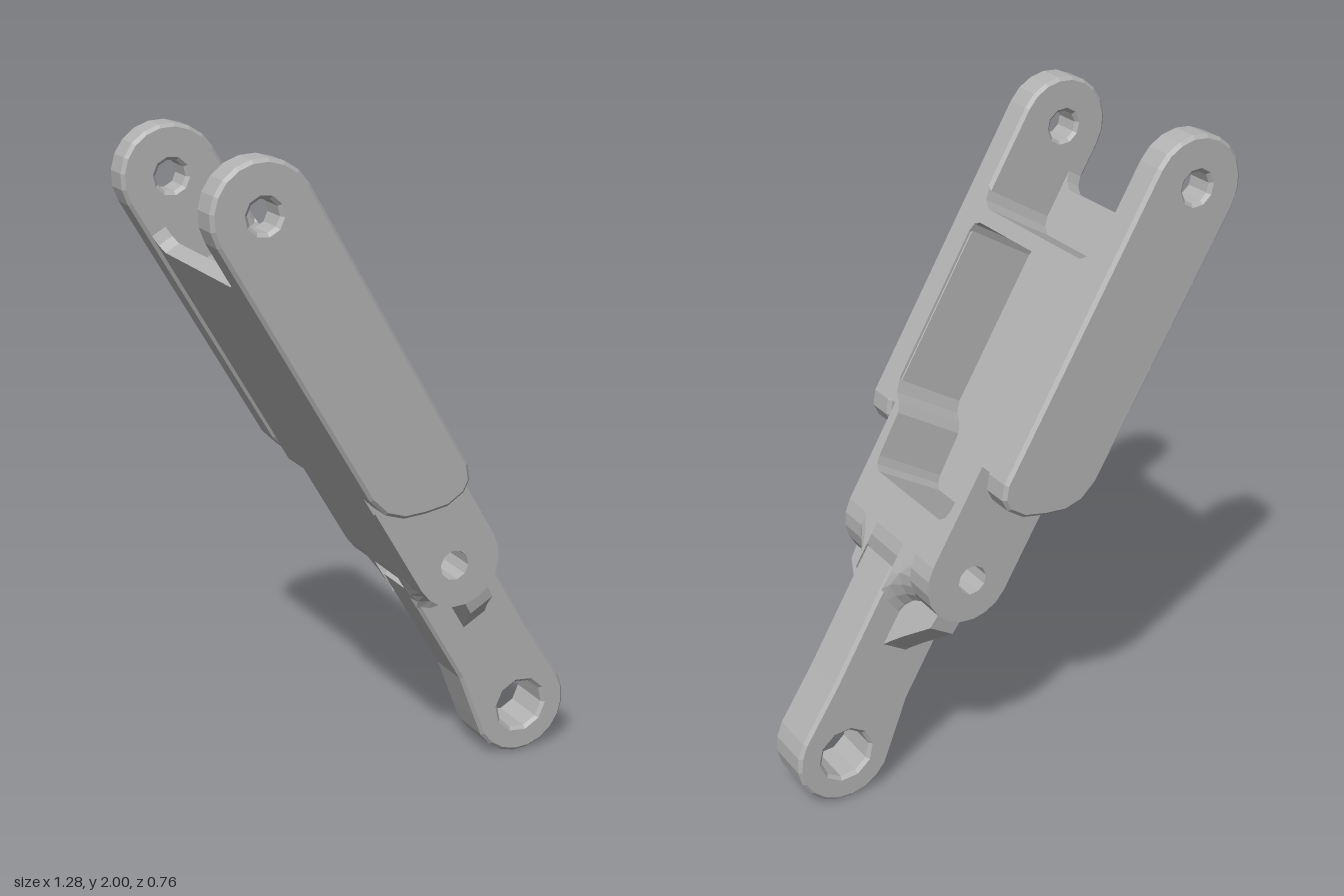
import * as THREE from 'three';

const TILT = Math.PI / 6;
const LENGTH = 1.952; // distance between the two end pivots

export function createModel() {
  const metal = new THREE.MeshStandardMaterial({ color: 0xb2b2b2, side: THREE.DoubleSide });
  metal.name = 'greyMetal';

  // The link is built upright (pivot to pivot along y), then tilted
  const link = new THREE.Group();
  link.name = 'link';
  link.rotation.z = TILT;
  link.position.set(0.482, 0.158, 0);

  const add = (geometry, name) => {
    const mesh = new THREE.Mesh(geometry, metal);
    mesh.name = name;
    link.add(mesh);
  };
  const toShape = (pts) => new THREE.Shape(pts.map(([x, y]) => new THREE.Vector2(x, y)));
  const drill = (shape, x, y, r) => {
    const hole = new THREE.Path();
    hole.absarc(x, y, r, 0, Math.PI * 2, true);
    shape.holes.push(hole);
  };
  // Slab facing z, from z0 to z1, with a small edge bevel
  const slabZ = (shape, z0, z1, bevel = 0.01) =>
    new THREE.ExtrudeGeometry(shape, {
      depth: z1 - z0 - 2 * bevel, curveSegments: 5, bevelEnabled: bevel > 0,
      bevelThickness: bevel, bevelSize: bevel, bevelOffset: -bevel, bevelSegments: 1,
    }).translate(0, 0, z0 + bevel);
  // Slab facing x: the shape is drawn in (-z, y)
  const slabX = (shape, x0, x1) =>
    new THREE.ExtrudeGeometry(shape, { depth: x1 - x0, curveSegments: 4, bevelEnabled: false })
      .rotateY(Math.PI / 2).translate(x0, 0, 0);
  // Half outline mirrored to both sides
  const mirrored = (half) => half.concat(half.map(([x, y]) => [-x, y]).reverse());

  // Fork cheeks: round at the pivot, blunt at the lower end
  for (const side of [1, -1]) {
    const cheek = new THREE.Shape();
    cheek.absarc(0, LENGTH, 0.15, 0, Math.PI, false);
    for (const [x, y] of [[-0.148, 1.09], [-0.13, 1.025], [-0.09, 0.98], [-0.03, 0.95],
      [0.038, 0.925], [0.098, 0.928], [0.132, 0.95], [0.15, 0.995]]) cheek.lineTo(x, y);
    drill(cheek, 0, LENGTH, 0.046);
    add(side > 0 ? slabZ(cheek, 0.28, 0.38) : slabZ(cheek, -0.38, -0.28),
      side > 0 ? 'frontCheek' : 'backCheek');
  }

  // Frame around the pocket, with fillets against the cheeks
  const frame = toShape(mirrored([
    [0.25, 0.79], [0.25, 1.0], [0.29, 1.0], [0.29, 1.7], [0.28, 1.69], [0.27, 1.66], [0.24, 1.64],
  ]));
  frame.holes.push(new THREE.Path(mirrored([
    [0.18, 0.8], [0.2, 0.815], [0.208, 0.84], [0.215, 0.98], [0.235, 1.01], [0.265, 1.03],
    [0.282, 1.07], [0.282, 1.555], [0.272, 1.582], [0.25, 1.593],
  ]).map(([x, y]) => new THREE.Vector2(x, y))));
  add(slabX(frame, -0.1, 0.15), 'pocketFrame');

  // Pocket floor, running up between the cheeks, and its narrower lower part
  add(slabX(toShape(mirrored([
    [0.29, 1.0], [0.29, 1.86], [0.28, 1.84], [0.268, 1.81], [0.24, 1.79],
  ])), -0.14, -0.092), 'pocketFloor');
  add(slabX(toShape(mirrored([[0.25, 0.79], [0.25, 1.01]])), -0.125, -0.092), 'lowerFloor');

  // Middle lug with a cross hole
  const CX = 0.0125, CY = 0.675, R = 0.1375;
  const lug = new THREE.Shape();
  lug.moveTo(0.15, 0.8);
  lug.lineTo(-0.125, 0.8);
  lug.absarc(CX, CY, R, Math.PI, Math.PI * 2, false);
  drill(lug, 0, CY, 0.046);
  add(slabZ(lug, -0.25, 0.25, 0), 'middleLug');

  // Tongue with the large pivot hole
  const tongue = new THREE.Shape();
  tongue.moveTo(-0.122, 0.6);
  tongue.lineTo(-0.122, 0.22);
  tongue.lineTo(-0.147, 0.07);
  tongue.absarc(0, 0, 0.158, Math.PI, Math.PI * 2, false);
  tongue.lineTo(0.15, 0.2);
  tongue.lineTo(0.15, 0.6);
  drill(tongue, 0, 0, 0.08);
  add(slabZ(tongue, -0.08, 0.08), 'tongue');

  // Fillet flaring from the lug down to the tongue faces
  const layers = [[0.078, 0.21], [0.09, 0.178], [0.115, 0.153], [0.15, R]];
  const steps = 12;
  for (const side of [1, -1]) {
    const positions = [], index = [];
    layers.forEach(([z, r], row) => {
      for (let i = 0; i <= steps; i++) {
        const a = Math.PI * (1 + i / steps);
        const x = THREE.MathUtils.clamp(r * Math.cos(a), -R, R);
        positions.push(CX + x, CY + r * Math.sin(a), side * z);
        if (row && i) {
          const d = row * (steps + 1) + i, b = d - steps - 1;
          if (side > 0) index.push(b - 1, b, d, b - 1, d, d - 1);
          else index.push(b - 1, d, b, b - 1, d - 1, d);
        }
      }
    });
    let fillet = new THREE.BufferGeometry();
    fillet.setAttribute('position', new THREE.Float32BufferAttribute(positions, 3));
    fillet.setIndex(index);
    fillet = fillet.toNonIndexed();
    fillet.computeVertexNormals();
    add(fillet, 'lugFillet');

    // Sloping rib under the lug
    const rib = toShape([[0.07, 0.355], [0.095, 0.38], [0.14, 0.42], [0.24, 0.5], [0.248, 0.56],
      [0.07, 0.56]].map(([z, y]) => [-side * z, y]));
    add(slabX(rib, -0.03, 0.055), 'rib');
  }

  const model = new THREE.Group();
  model.name = 'linkArm';
  model.add(link);
  return model;
}
